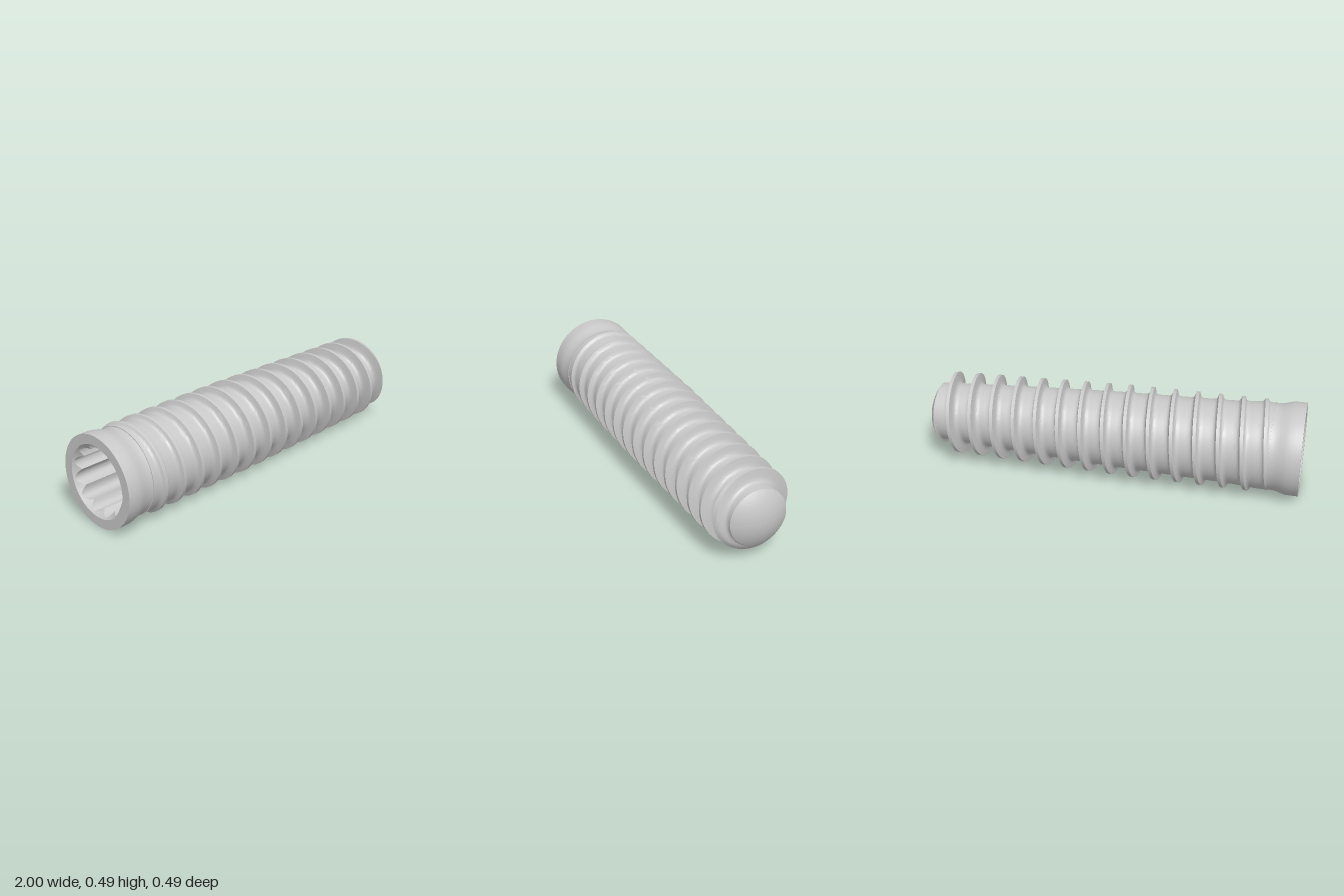
import * as THREE from 'three';
import { toCreasedNormals } from 'three/addons/utils/BufferGeometryUtils.js';

const AXIS_Y = 0.243, PITCH = 0.1195, LAST_CREST = 0.874;
const DOME_R = 0.265, DOME_RIM = 0.151;
const BODY_START = -0.84, BODY_END = 1 - DOME_R + Math.sqrt(DOME_R ** 2 - DOME_RIM ** 2);

// Piecewise linear lookup in a list of [x, value] points
function lookup(points, x) {
  if (x <= points[0][0]) return points[0][1];
  for (let i = 1; i < points.length; i++) {
    const [x0, a] = points[i - 1], [x1, b] = points[i];
    if (x <= x1) return a + (b - a) * (x - x0) / (x1 - x0);
  }
  return points[points.length - 1][1];
}

const coreProfile = [[-0.84, 0.227], [-0.75, 0.225], [-0.65, 0.217], [0, 0.199], [0.5, 0.177], [BODY_END, DOME_RIM]];
const crestProfile = [[-0.1, 0.243], [0.95, 0.216]];
// One thread ridge: axial offset from the crest, share of the full height
const ridge = [[-0.05975, 0], [-0.045, 0], [-0.032, 0], [-0.025, 0.06], [-0.019, 0.2], [-0.015, 0.45], [-0.009, 1],
  [0.008, 1], [0.013, 0.45], [0.017, 0.2], [0.022, 0.06], [0.029, 0], [0.045, 0], [0.05975, 0]];

// Radius left by the dome at x; unlimited behind the dome's widest point
const domeLimit = x => {
  const d = x - (1 - DOME_R);
  return d <= 0 ? Infinity : Math.sqrt(Math.max(0, DOME_R ** 2 - d ** 2));
};

// Surface around the x axis; at(row, angle) gives [x, radius].
// It faces outwards when x grows with the row, inwards when x falls.
function sweptSurface(rows, cols, at) {
  const pos = [], index = [];
  for (let i = 0; i < rows; i++) {
    for (let j = 0; j <= cols; j++) {
      const a = j / cols * Math.PI * 2;
      const [x, r] = at(i, a);
      pos.push(x, r * Math.cos(a), r * Math.sin(a));
      if (i < rows - 1 && j < cols) {
        const p = i * (cols + 1) + j, q = p + cols + 1;
        index.push(p, p + 1, q, p + 1, q + 1, q);
      }
    }
  }
  const g = new THREE.BufferGeometry();
  g.setAttribute('position', new THREE.Float32BufferAttribute(pos, 3));
  g.setIndex(index);
  return toCreasedNormals(g, 0.6);
}

// Turned part along the x axis from [x, radius] points
function turned(points) {
  const g = new THREE.LatheGeometry(points.map(([x, r]) => new THREE.Vector2(r, x)), 96);
  g.rotateZ(-Math.PI / 2);
  return toCreasedNormals(g, 0.5);
}

export function createModel() {
  const group = new THREE.Group();
  const metal = new THREE.MeshStandardMaterial({ color: 0xc8c8c8 });
  metal.name = 'light grey metal';
  const add = (name, geometry) => {
    const mesh = new THREE.Mesh(geometry, metal);
    mesh.name = name;
    mesh.position.y = AXIS_Y;
    group.add(mesh);
    return mesh;
  };

  // Tapered core with its helical thread, trimmed by the dome at the tip
  const firstTurn = -16, turns = 18, n = ridge.length;
  add('threadedBody', sweptSurface(turns * n, 96, (i, a) => {
    const [offset, share] = ridge[i % n];
    const crestX = LAST_CREST + PITCH * (firstTurn + Math.floor(i / n) + a / (Math.PI * 2));
    const x = THREE.MathUtils.clamp(crestX + offset, BODY_START, BODY_END);
    const fade = THREE.MathUtils.smoothstep(x, -0.86, -0.8) * (1 - THREE.MathUtils.smoothstep(crestX, 0.9, 0.97));
    const core = lookup(coreProfile, x);
    const height = (lookup(crestProfile, x) - core) * share * fade;
    return [x, Math.min(core + height, domeLimit(x))];
  }));

  // Rounded tip
  const dome = [];
  for (let i = 0; i <= 16; i++) {
    const angle = Math.asin(DOME_RIM / DOME_R) * (1 - i / 16);
    dome.push([1 - DOME_R + DOME_R * Math.cos(angle), DOME_R * Math.sin(angle)]);
  }
  add('domedTip', turned(dome));

  // Smooth collar with a flat rim and narrowed neck
  add('collar', turned([[-1, 0.192], [-1, 0.243], [-0.965, 0.243], [-0.935, 0.242],
    [-0.915, 0.238], [-0.89, 0.23], [-0.87, 0.226], [-0.855, 0.2255], [-0.84, 0.227]]));

  // Twelve-lobed drive socket with a chamfered mouth
  const floorX = -0.6;
  add('driveSocket', sweptSurface(3, 144, (i, a) => {
    const r = 0.157 + 0.028 * Math.abs(Math.sin(6 * a));
    return [[floorX, r], [-1 + (0.192 - r) * 1.1, r], [-1, 0.192]][i];
  }));
  const floor = add('socketFloor', new THREE.CircleGeometry(0.186, 48).rotateY(-Math.PI / 2));
  floor.position.x = floorX;

  return group;
}
